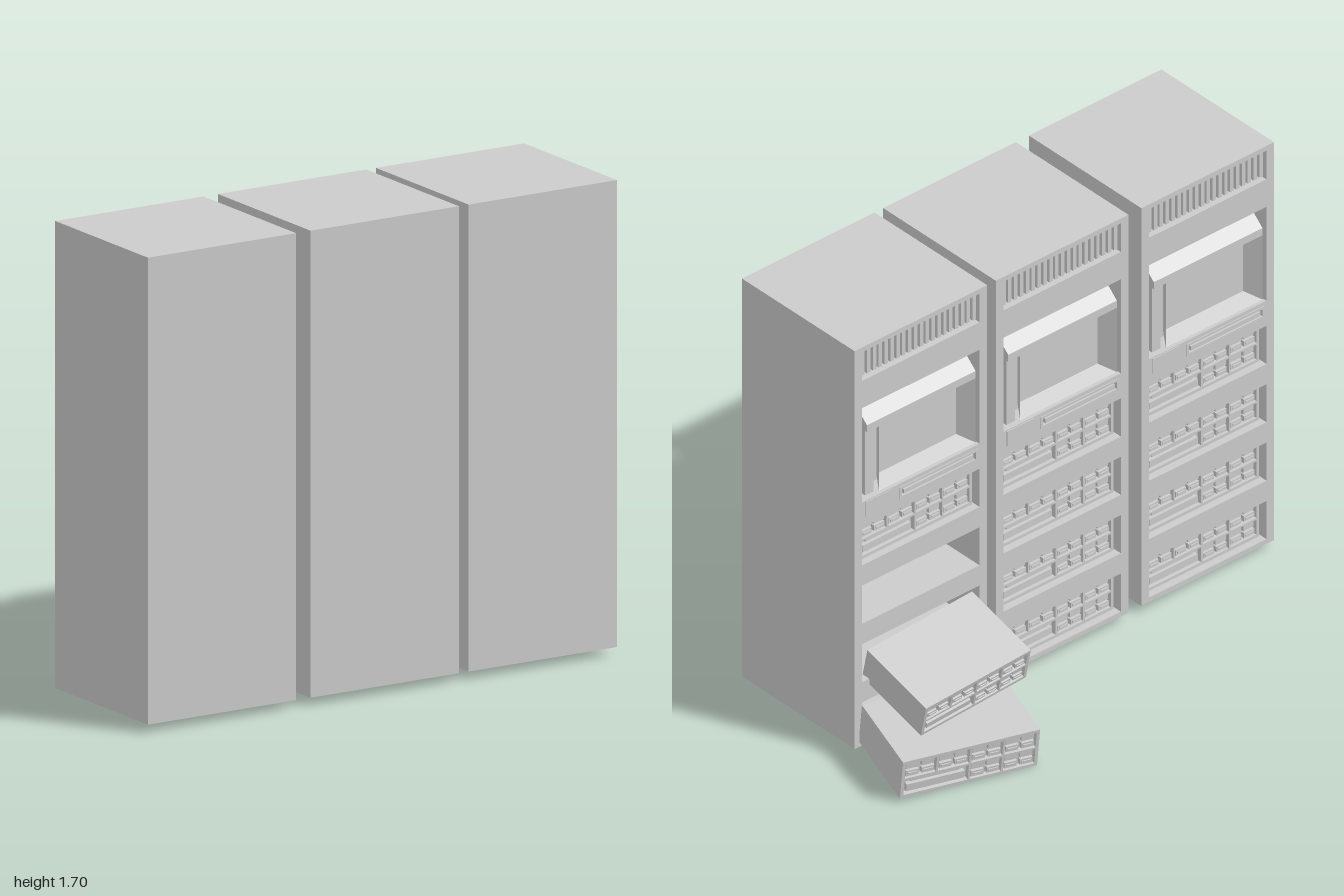
import * as THREE from 'three';

const grey = new THREE.MeshStandardMaterial({ color: 0xcccccc, flatShading: true });
const W = 0.61, BOTTOM = 0.03, TOP = 1.7, FACE = -0.06, BACK = 0.53;
const OPEN = 0.54;                                  // width of the openings
const SLOTS = [0.785, 0.54, 0.295, 0.05], SLOT_H = 0.16;

function add(parent, name, geometry, x = 0, y = 0, z = 0) {
  const mesh = new THREE.Mesh(geometry, grey);
  mesh.name = name;
  mesh.position.set(x, y, z);
  parent.add(mesh);
  return mesh;
}

// box given by its limits on each axis
function block(parent, name, x0, x1, y0, y1, z0, z1) {
  return add(parent, name, new THREE.BoxGeometry(x1 - x0, y1 - y0, z1 - z0),
    (x0 + x1) / 2, (y0 + y1) / 2, (z0 + z1) / 2);
}

function rect(Type, x0, x1, y0, y1) {
  const p = new Type();
  p.moveTo(x0, y0);
  p.lineTo(x1, y0);
  p.lineTo(x1, y1);
  p.lineTo(x0, y1);
  p.closePath();
  return p;
}

// plate with rectangular holes, running from z0 to z1
function frame(parent, name, outer, holes, z0, z1) {
  const shape = rect(THREE.Shape, ...outer);
  holes.forEach(h => shape.holes.push(rect(THREE.Path, ...h)));
  const geometry = new THREE.ExtrudeGeometry(shape, { depth: z1 - z0, bevelEnabled: false });
  return add(parent, name, geometry, 0, 0, z0);
}

// rack unit centred on its own origin, drive bays facing -z
function makeUnit(w, h, d) {
  const unit = new THREE.Group();
  unit.name = 'rackUnit';
  const f = -d / 2, x = w / 2, y = h / 2, rim = 0.008, gap = 0.008;
  block(unit, 'unitCase', -x, x, -y, y, f + 0.02, d / 2);
  const cellW = (w - 2 * rim) / 4, cellH = (h - 2 * rim) / 2;
  const holes = [];
  for (let row = 0; row < 2; row++) {
    for (let col = 0; col < 4; col++) {
      if (row === 0 && col === 3) continue;         // merged into the wide bay
      const wide = row === 0 && col === 2;
      const x0 = -x + rim + col * cellW + gap / 2;
      const x1 = x0 + cellW * (wide ? 2 : 1) - gap;
      const y0 = -y + rim + row * cellH + gap / 2, y1 = y0 + cellH - gap;
      holes.push([x0, x1, y0, y1]);
      if (wide) {
        block(unit, 'wideDrive', x0 + 0.012, x1 - 0.012, y0 + 0.01, y1 - 0.024, f + 0.004, f + 0.022);
        block(unit, 'wideDriveLatch', x0 + 0.03, x1 - 0.03, y1 - 0.018, y1 - 0.009, f + 0.01, f + 0.022);
        continue;
      }
      const step = (x1 - x0) / 2;
      for (let i = 0; i < 2; i++) {
        const a = x0 + i * step + 0.006, b = a + step - 0.012, m = (y0 + y1) / 2;
        block(unit, 'driveTray', a, b, y0 + 0.006, m - 0.003, f + 0.004, f + 0.022);
        block(unit, 'driveTray', a, b, m + 0.003, y1 - 0.006, f + 0.008, f + 0.022);
        block(unit, 'driveHandle', a + 0.006, b - 0.006, m - 0.016, m - 0.01, f, f + 0.008);
      }
    }
  }
  frame(unit, 'unitBezel', [-x, x, -y, y], holes, f, f + 0.02);
  return unit;
}

// vertical slats across the top of a cabinet
function makeVent(parent) {
  const h = OPEN / 2, n = 20;
  block(parent, 'ventBack', -h, h, 1.56, 1.68, FACE + 0.04, FACE + 0.05);
  for (let i = 0; i < n; i++) {
    const x = -h + (i + 0.5) * OPEN / n;
    block(parent, 'ventSlat', x - 0.008, x + 0.008, 1.57, 1.67, FACE + 0.012, FACE + 0.041);
  }
}

// screen housing with sloped hood, side column and control strip
function makeConsole(parent) {
  const front = FACE + 0.015, rear = FACE + 0.12;
  const x0 = -0.265, x1 = 0.18, y0 = 1.05, y1 = 1.35;
  const hood = new THREE.Shape();                   // drawn as (depth, height)
  hood.moveTo(0, y1);
  hood.lineTo(0.09, 1.43);
  hood.lineTo(0.16, 1.43);
  hood.lineTo(0.16, y1 - 0.03);
  hood.lineTo(0, y1 - 0.03);
  hood.closePath();
  const hoodGeo = new THREE.ExtrudeGeometry(hood, { depth: 0.5, bevelEnabled: false });
  hoodGeo.rotateY(-Math.PI / 2);                    // depth runs along +z
  add(parent, 'screenHood', hoodGeo, 0.235, 0, front);

  // sloping surround: outer edge forward, inner edge at the glass
  const surround = new THREE.CylinderGeometry(Math.SQRT1_2, Math.SQRT1_2 * 0.82, 1, 4, 1, true);
  surround.rotateY(Math.PI / 4).rotateX(-Math.PI / 2);
  surround.scale(x1 - x0, y1 - 0.03 - y0, 0.06);
  const bezel = add(parent, 'screenSurround', surround, (x0 + x1) / 2, (y0 + y1 - 0.03) / 2, front + 0.03);
  bezel.material = new THREE.MeshStandardMaterial({ color: 0xcccccc, flatShading: true, side: THREE.DoubleSide });
  block(parent, 'screen', x0, x1, y0, y1 - 0.02, front + 0.058, rear);

  block(parent, 'sideColumn', x1 + 0.015, 0.235, y0, y1 - 0.03, front + 0.01, rear);
  block(parent, 'consoleBack', -OPEN / 2, OPEN / 2, y0, 1.445, rear, rear + 0.04);

  // control strip beneath the screen
  block(parent, 'controlPad', 0.13, 0.255, 0.985, 1.045, FACE - 0.003, FACE + 0.03);
  frame(parent, 'keyTrim', [-0.26, 0.1, 0.985, 1.035], [[-0.25, 0.09, 0.995, 1.025]], FACE - 0.003, FACE + 0.02);
  block(parent, 'keyBar', -0.24, 0.08, 1.001, 1.019, FACE - 0.003, FACE + 0.02);
}

function makeCabinet(x, filledSlots) {
  const cabinet = new THREE.Group();
  cabinet.name = 'cabinet';
  cabinet.position.x = x;
  const h = OPEN / 2, w = W / 2;
  const holes = [[-h, h, 1.56, 1.68], [-h, h, 1.05, 1.445], [-0.25, 0.09, 0.995, 1.025]];
  SLOTS.forEach(y => holes.push([-h, h, y, y + SLOT_H]));
  frame(cabinet, 'cabinetBody', [-w, w, BOTTOM, TOP], holes, FACE, BACK - 0.03);
  block(cabinet, 'cabinetPanel', -w, w, BOTTOM, TOP, BACK - 0.03, BACK);
  block(cabinet, 'keyRecessBack', -0.25, 0.09, 0.995, 1.025, FACE + 0.015, FACE + 0.03);
  makeVent(cabinet);
  makeConsole(cabinet);
  SLOTS.slice(0, filledSlots).forEach(y => {
    const unit = makeUnit(0.525, 0.156, 0.335);
    unit.position.set(0, y + 0.078, FACE + 0.03 + 0.1675);
    cabinet.add(unit);
  });
  return cabinet;
}

export function createModel() {
  const model = new THREE.Group();
  model.name = 'serverRacks';
  model.add(makeCabinet(-0.695, 4), makeCabinet(-0.025, 4), makeCabinet(0.625, 1));

  // two units that have slid out and lie in a heap
  const upper = makeUnit(0.475, 0.145, 0.32);
  upper.name = 'upperFallenUnit';
  upper.position.set(0.63, 0.325, -0.2);
  upper.rotation.set(-0.28, 0, -0.08, 'YXZ');
  const lower = makeUnit(0.525, 0.16, 0.335);
  lower.name = 'lowerFallenUnit';
  lower.position.set(0.7, 0.105, -0.295);
  lower.rotation.set(-0.1, -0.28, 0.03, 'YXZ');
  model.add(upper, lower);
  return model;
}
